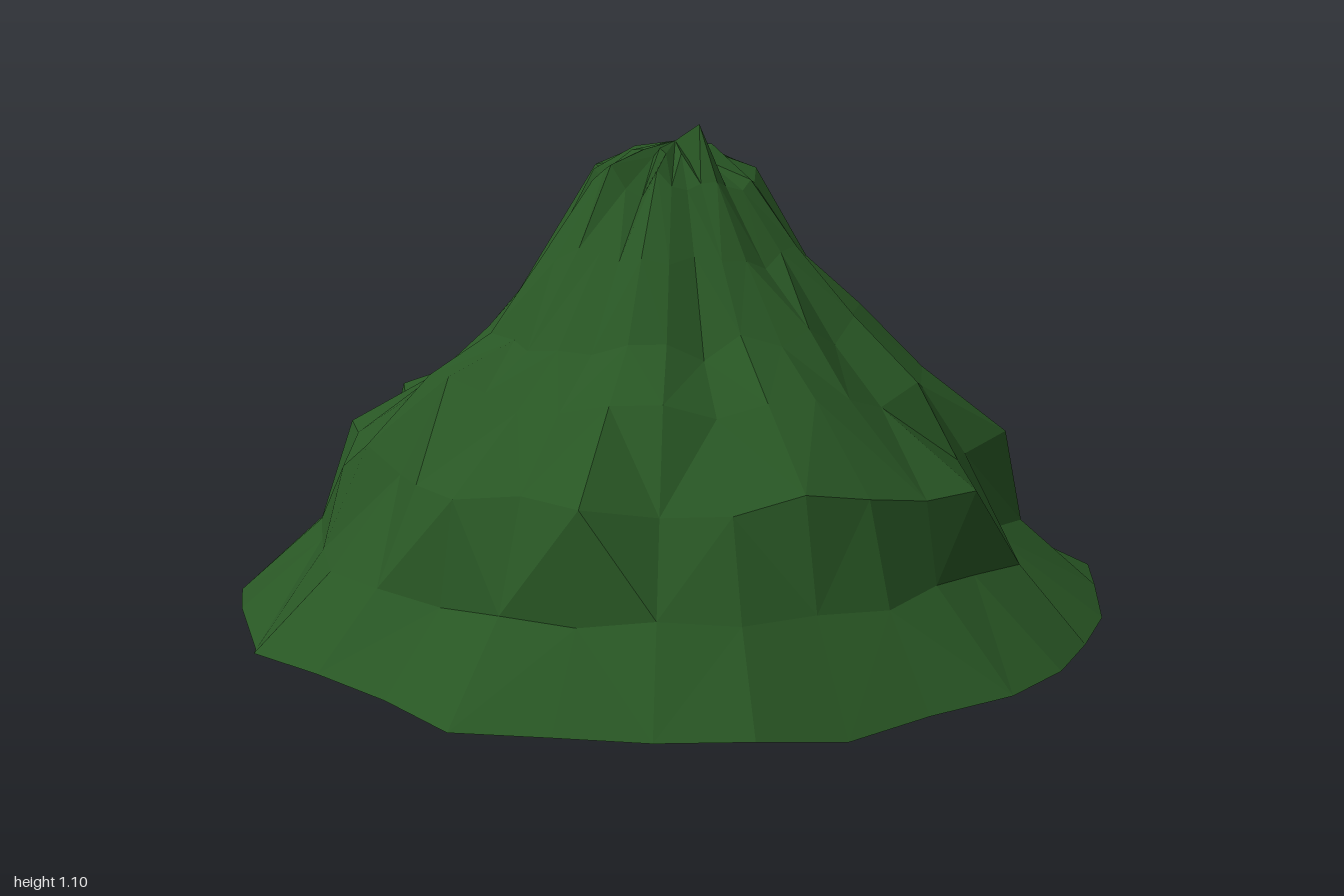
import * as THREE from 'three';

const SIDES = 32;

// Radii per spoke, from +x round towards +z: foot, base of the cliffs, lower ledge
const FOOT = [1, .99, .985, .95, .955, .945, .96, .967, .93, .94, .96, .945, .955, .995, .94, .955,
  1, .95, .97, 1, 1, .957, .977, .98, .95, .967, .98, 1, .955, .943, .93, .91];
const CLIFF = [.77, .79, .73, .78, .7, .8, .76, .77, .8, .79, .82, .81, .79, .8, .78, .81,
  .83, .8, .79, .81, .82, .8, .86, .85, .85, .8, .82, .81, .79, .8, .78, .72];
const LEDGE = [.78, .77, .72, .74, .65, .66, .76, .74, .73, .73, .72, .7, .77, .71, .74, .71,
  .67, .7, .74, .72, .78, .71, .84, .87, .67, .77, .74, .82, .74, .77, .745, .68];

// Rings above the foot: [radius or radii, height, radial jitter, height jitter]
const RINGS = [
  [CLIFF, .2, 0, .035],
  [LEDGE, .4, 0, .055],
  [.54, .55, .035, .05],
  [.405, .66, .04, .05],
  [.285, .82, .035, .05],
  [.175, .98, .035, .055],
  [.085, 1.035, .02, .03],
];

function seeded(seed) {
  return () => {
    seed = (seed * 16807) % 2147483647;
    return (seed / 2147483647) * 2 - 1;
  };
}

function mountainGeometry() {
  const rnd = seeded(2861);
  const pos = [], index = [];
  const put = (i, r, y) => {
    const a = (i / SIDES) * Math.PI * 2;
    pos.push(Math.cos(a) * r, y, Math.sin(a) * r);
  };

  // Foot: a wavy rim, higher at the two sides, touching the ground at a few spokes
  for (let i = 0; i < SIDES; i++) {
    const c = Math.cos((i / SIDES) * Math.PI * 2);
    put(i, FOOT[i], i % 8 === 1 ? 0 : .025 + .03 * c * c + .012 * c + rnd() * .012);
  }
  // Craggy rings; ridges and gullies alternate and run straight uphill
  const pleat = FOOT.map((_, i) => (i % 2 ? .4 : -.4) + .6 * rnd());
  RINGS.forEach(([r, y, jr, jy]) => {
    for (let i = 0; i < SIDES; i++) {
      const base = Array.isArray(r) ? r[i] : r;
      put(i, base + (.6 * pleat[i] + .4 * rnd()) * jr, y + (.4 * pleat[i] + .6 * rnd()) * jy);
    }
  });
  // Small spike beside the summit
  const spike = (RINGS.length * SIDES + 8) * 3;
  pos[spike + 1] = 1.1;
  pos[spike + 2] = .1;

  const rows = RINGS.length + 1;
  const top = rows * SIDES, bottom = top + 1;
  pos.push(0, 1.06, 0, 0, .02, 0);

  for (let i = 0; i < SIDES; i++) {
    const j = (i + 1) % SIDES;
    for (let k = 0; k < rows - 1; k++) {
      const a = k * SIDES + i, b = k * SIDES + j;
      const c = b + SIDES, d = a + SIDES;
      // Alternate the folds so that the pleats do not swirl
      if (i % 2) index.push(a, c, b, a, d, c);
      else index.push(a, d, b, d, c, b);
    }
    const last = (rows - 1) * SIDES;
    index.push(last + i, top, last + j); // summit fan
    index.push(i, j, bottom); // underside fan
  }

  const g = new THREE.BufferGeometry();
  g.setAttribute('position', new THREE.Float32BufferAttribute(pos, 3));
  g.setIndex(index);
  const flat = g.toNonIndexed();
  flat.computeVertexNormals();
  return flat;
}

export function createModel() {
  const group = new THREE.Group();
  group.name = 'mountain';
  const material = new THREE.MeshStandardMaterial({ color: 0x285624, flatShading: true });
  const mountain = new THREE.Mesh(mountainGeometry(), material);
  mountain.name = 'craggyHill';
  group.add(mountain);
  return group;
}
